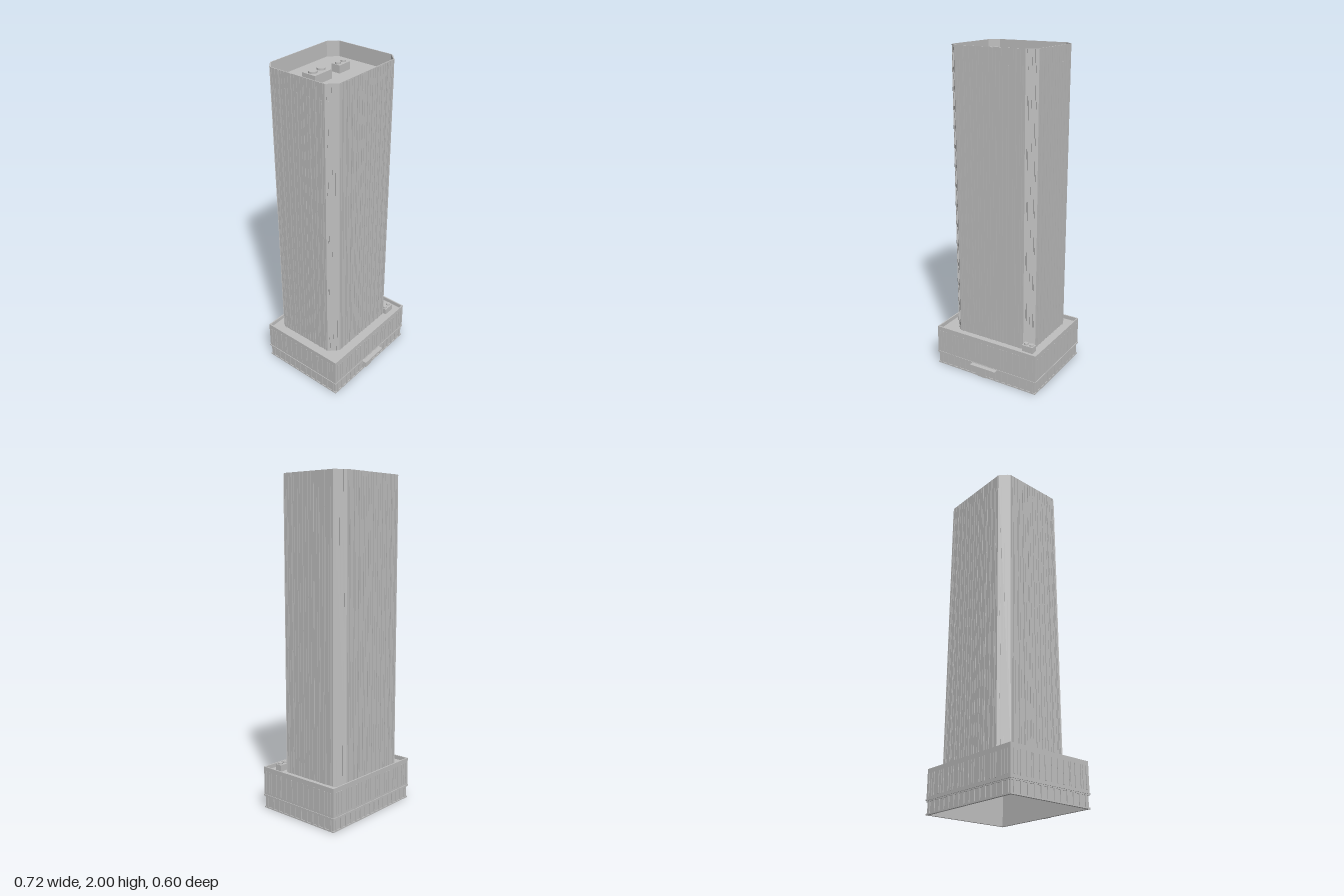
import * as THREE from 'three';

const concrete = new THREE.MeshStandardMaterial({ color: 0xbfbfbf });
concrete.name = 'concrete grey';

// Plan outline [x, z] of a rectangle with chamfered corners
function outline(x, z0, z1, c = 0) {
  if (!c) return [[-x, z1], [x, z1], [x, z0], [-x, z0]];
  return [[-x + c, z1], [x - c, z1], [x, z1 - c], [x, z0 + c],
    [x - c, z0], [-x + c, z0], [-x, z0 + c], [-x, z1 - c]];
}

const toPoints = (pts) => pts.map(([x, z]) => new THREE.Vector2(x, -z));

export function createModel() {
  const model = new THREE.Group();
  model.name = 'officeTower';

  function add(name, geometry, parent = model) {
    const mesh = new THREE.Mesh(geometry, concrete);
    mesh.name = name;
    parent.add(mesh);
    return mesh;
  }

  // Vertical prism from a plan, optionally hollow
  function prism(name, plan, y0, y1, inner) {
    const shape = new THREE.Shape(toPoints(plan));
    if (inner) shape.holes.push(new THREE.Path(toPoints(inner)));
    const g = new THREE.ExtrudeGeometry(shape, { depth: y1 - y0, bevelEnabled: false });
    g.rotateX(-Math.PI / 2).translate(0, y0, 0);
    return add(name, g);
  }

  function box(name, x0, x1, y0, y1, z0, z1, parent) {
    const g = new THREE.BoxGeometry(x1 - x0, y1 - y0, z1 - z0);
    g.translate((x0 + x1) / 2, (y0 + y1) / 2, (z0 + z1) / 2);
    return add(name, g, parent);
  }

  // Upright ribs set out evenly along every side of a plan
  function ribs(name, plan, pitch, width, depth, y0, topAt) {
    const group = new THREE.Group();
    group.name = name + 's';
    model.add(group);
    plan.forEach(([ax, az], s) => {
      const [bx, bz] = plan[(s + 1) % plan.length];
      const dx = bx - ax, dz = bz - az;
      const length = Math.hypot(dx, dz);
      const n = Math.max(2, Math.round(length / pitch));
      for (let i = 0; i < n; i++) {
        const t = (i + 0.5) / n;
        const y1 = topAt(i);
        const rib = add(name, new THREE.BoxGeometry(width, y1 - y0, depth * 2), group);
        rib.position.set(ax + dx * t, (y0 + y1) / 2, az + dz * t);
        rib.rotation.y = Math.atan2(-dz, dx);
      }
    });
  }

  // Rooftop cooling unit with two round fans
  function coolingUnit(name, x0, x1, z0, z1, y0, y1, r, fanXs) {
    const unit = new THREE.Group();
    unit.name = name;
    model.add(unit);
    box('unitBody', x0, x1, y0, y1, z0, z1, unit);
    for (const x of fanXs) {
      const fan = add('fan', new THREE.CylinderGeometry(r, r, 0.01, 24), unit);
      fan.position.set(x, y1 + 0.005, (z0 + z1) / 2);
    }
  }

  // Podium: hollow shell, recessed roof and a slim cornice over the ground floor
  const podium = outline(0.356, -0.296, 0.268);
  const podiumInner = outline(0.348, -0.288, 0.26);
  prism('podiumWall', podium, 0.072, 0.26, podiumInner);
  prism('podiumRoof', podiumInner, 0.23, 0.235);
  prism('groundFloorGlazing', outline(0.351, -0.291, 0.263), 0, 0.072, outline(0.343, -0.283, 0.255));
  prism('plinth', podium, 0, 0.008, podiumInner);
  prism('cornice', outline(0.36, -0.3, 0.271), 0.079, 0.086, podiumInner);
  ribs('groundFloorPier', outline(0.352, -0.292, 0.264), 0.045, 0.014, 0.004, 0, () => 0.072);
  ribs('podiumFin', podium, 0.045, 0.004, 0.004, 0.1, () => 0.232);
  // Paired fins between the evenly spaced ones
  ribs('podiumInnerFin', podium, 0.09, 0.004, 0.003, 0.1, () => 0.232);

  // Entrance
  box('entranceDoor', -0.055, 0.005, 0, 0.066, 0.26, 0.273);
  box('entranceCanopy', -0.09, 0.09, 0.077, 0.083, 0.262, 0.3);

  // Tower: chamfered shell rising as a parapet above the roof deck
  const tower = outline(0.282, -0.282, 0.194, 0.053);
  const towerInner = outline(0.277, -0.277, 0.189, 0.051);
  prism('towerWall', tower, 0.232, 2, towerInner);
  prism('towerRoof', towerInner, 1.9, 1.91);
  ribs('towerFin', tower, 0.0435, 0.004, 0.004, 0.235, (i) => (i % 2 ? 1.998 : 1.91));
  ribs('towerMullion', tower, 0.0218, 0.003, 0.002, 0.235, () => 1.998);

  // Roof equipment
  coolingUnit('largeCoolingUnit', -0.157, -0.023, -0.12, -0.03, 1.91, 1.962, 0.024, [-0.124, -0.057]);
  coolingUnit('smallCoolingUnit', 0.06, 0.148, -0.103, -0.045, 1.91, 1.955, 0.016, [0.081, 0.127]);
  coolingUnit('podiumCoolingUnit', 0.232, 0.306, 0.174, 0.215, 0.235, 0.275, 0.013, [0.25, 0.287]);
  box('roofVent', 0.112, 0.126, 1.91, 1.925, 0.068, 0.082);

  return model;
}
